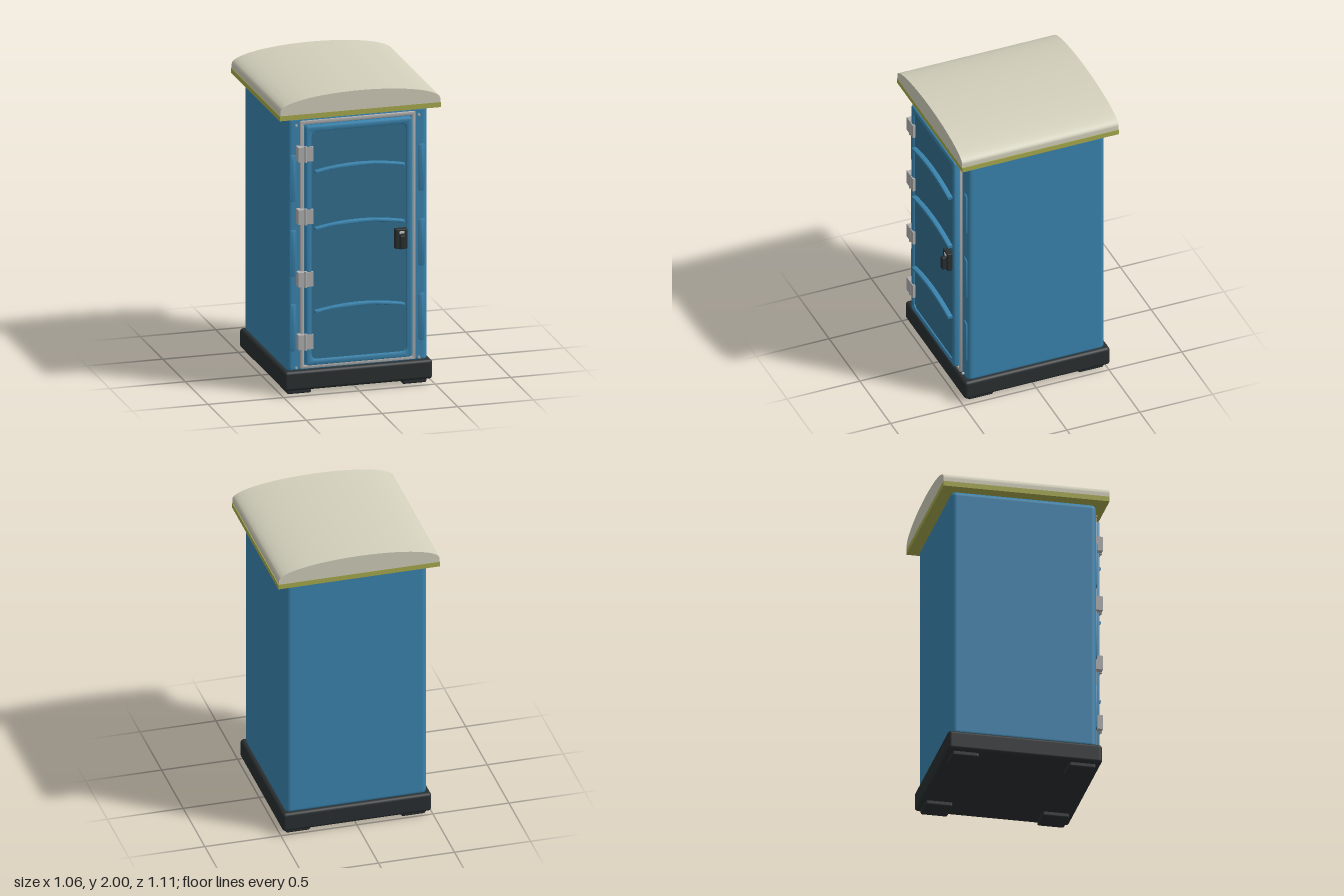
import * as THREE from 'three';
import { toCreasedNormals } from 'three/addons/utils/BufferGeometryUtils.js';
import { RoundedBoxGeometry } from 'three/addons/geometries/RoundedBoxGeometry.js';

const mat = (color) => new THREE.MeshStandardMaterial({ color });

// Rounded rectangle given by its edges
function roundedRect(x0, x1, y0, y1, r, Type = THREE.Shape) {
  const s = new Type();
  s.absarc(x1 - r, y0 + r, r, -Math.PI / 2, 0);
  s.absarc(x1 - r, y1 - r, r, 0, Math.PI / 2);
  s.absarc(x0 + r, y1 - r, r, Math.PI / 2, Math.PI);
  s.absarc(x0 + r, y0 + r, r, Math.PI, Math.PI * 1.5);
  s.closePath();
  return s;
}

// Extrusion along z from z0 to z1 with edges chamfered inwards by b
function slab(shape, z0, z1, b = 0, curveSegments = 6) {
  const g = new THREE.ExtrudeGeometry(shape, {
    depth: z1 - z0 - 2 * b, curveSegments, bevelEnabled: b > 0,
    bevelSize: b, bevelThickness: b, bevelOffset: -b, bevelSegments: 2,
  });
  g.translate(0, 0, z0 + b);
  return toCreasedNormals(g, 0.6);
}

// Box given by its edges, rounded when r > 0
function box(x0, x1, y0, y1, z0, z1, r = 0) {
  const size = [x1 - x0, y1 - y0, z1 - z0];
  const g = r ? new RoundedBoxGeometry(...size, 4, r) : new THREE.BoxGeometry(...size);
  return g.translate((x0 + x1) / 2, (y0 + y1) / 2, (z0 + z1) / 2);
}

export function createModel() {
  const root = new THREE.Group();
  root.name = 'portableToilet';
  const blue = mat(0x3a85b0), panelBlue = mat(0x33708f), black = mat(0x2a2f31);
  const grey = mat(0xb0b0b0), cream = mat(0xd2cfbb), olive = mat(0xa9ab4e), white = mat(0xdddddd);
  const add = (name, geometry, material, parent = root) => {
    const m = new THREE.Mesh(geometry, material);
    m.name = name;
    parent.add(m);
    return m;
  };

  // Base and feet
  add('base', box(-0.49, 0.49, 0.03, 0.16, -0.515, 0.485, 0.022), black);
  for (const x of [-0.38, 0.38]) {
    for (const z of [-0.395, 0.362]) {
      add('foot', box(x - 0.08, x + 0.08, 0, 0.06, z - 0.087, z + 0.087, 0.012), black);
    }
  }

  // Cabin
  add('cabin', box(-0.465, 0.465, 0.14, 1.845, -0.49, 0.455, 0.035), blue);

  // Roof: trim band and arched cap
  add('roofTrim', box(-0.532, 0.532, 1.84, 1.873, -0.556, 0.521), olive);
  const arch = new THREE.Shape();
  arch.moveTo(-0.528, 1.87);
  arch.lineTo(0.528, 1.87);
  arch.lineTo(0.528, 1.9);
  arch.absellipse(0, 1.9, 0.528, 0.1, 0, Math.PI);
  arch.closePath();
  add('roof', slab(arch, -0.555, 0.52, 0, 40), cream);

  // Door frame
  const frame = roundedRect(-0.38, 0.38, 0.17, 1.81, 0.008);
  frame.holes.push(roundedRect(-0.357, 0.357, 0.19, 1.787, 0.008, THREE.Path));
  add('doorFrame', slab(frame, 0.44, 0.472, 0.003), grey);

  // Door: rim around a shallow recessed panel
  const door = new THREE.Group();
  door.name = 'door';
  root.add(door);
  const rim = roundedRect(-0.352, 0.352, 0.195, 1.782, 0.02);
  rim.holes.push(roundedRect(-0.312, 0.312, 0.235, 1.742, 0.03, THREE.Path));
  add('doorRim', slab(rim, 0.45, 0.5, 0.01), blue, door);
  add('doorPanel', box(-0.33, 0.33, 0.22, 1.76, 0.452, 0.489), panelBlue, door);

  // Curved ribs across the door
  for (const y of [1.505, 1.128, 0.578]) {
    const rib = new THREE.Shape();
    rib.moveTo(-0.295, y - 0.036);
    rib.quadraticCurveTo(0, y + 0.018, 0.295, y - 0.036);
    rib.lineTo(0.295, y - 0.018);
    rib.quadraticCurveTo(0, y + 0.044, -0.295, y - 0.018);
    rib.closePath();
    add('doorRib', slab(rib, 0.48, 0.52, 0.005, 24), blue, door);
  }

  // Hinges: two leaves and a pin
  for (const y of [1.6, 1.185, 0.77, 0.355]) {
    const hinge = new THREE.Group();
    hinge.name = 'hinge';
    root.add(hinge);
    add('frameLeaf', box(-0.405, -0.362, y - 0.048, y + 0.048, 0.45, 0.507), grey, hinge);
    add('doorLeaf', box(-0.35, -0.305, y - 0.048, y + 0.048, 0.49, 0.507), grey, hinge);
    const pin = new THREE.CylinderGeometry(0.01, 0.01, 0.108, 16);
    add('pin', pin.translate(-0.356, y, 0.502), grey, hinge);
  }

  // Latch
  const latch = new THREE.Group();
  latch.name = 'latch';
  root.add(latch);
  add('latchPlate', box(0.232, 0.31, 0.925, 1.055, 0.48, 0.528, 0.005), black, latch);
  add('latchGrip', box(0.255, 0.288, 0.93, 1.02, 0.52, 0.555, 0.006), black, latch);
  add('latchIndicator', box(0.255, 0.288, 1.027, 1.043, 0.52, 0.531), white, latch);

  // Raised strips beside the door, and corner bolts
  for (const side of [-1, 1]) {
    for (const y of [1.432, 0.935, 0.443]) {
      const x = side * 0.425;
      const strip = roundedRect(x - 0.022, x + 0.022, y - 0.156, y + 0.156, 0.018);
      add('sideStrip', slab(strip, 0.435, 0.462, 0.006), blue);
    }
    for (const y of [1.785, 0.178]) {
      const bolt = new THREE.CylinderGeometry(0.008, 0.008, 0.03, 12);
      add('bolt', bolt.rotateX(Math.PI / 2).translate(side * 0.405, y, 0.455), grey);
    }
  }
  return root;
}
